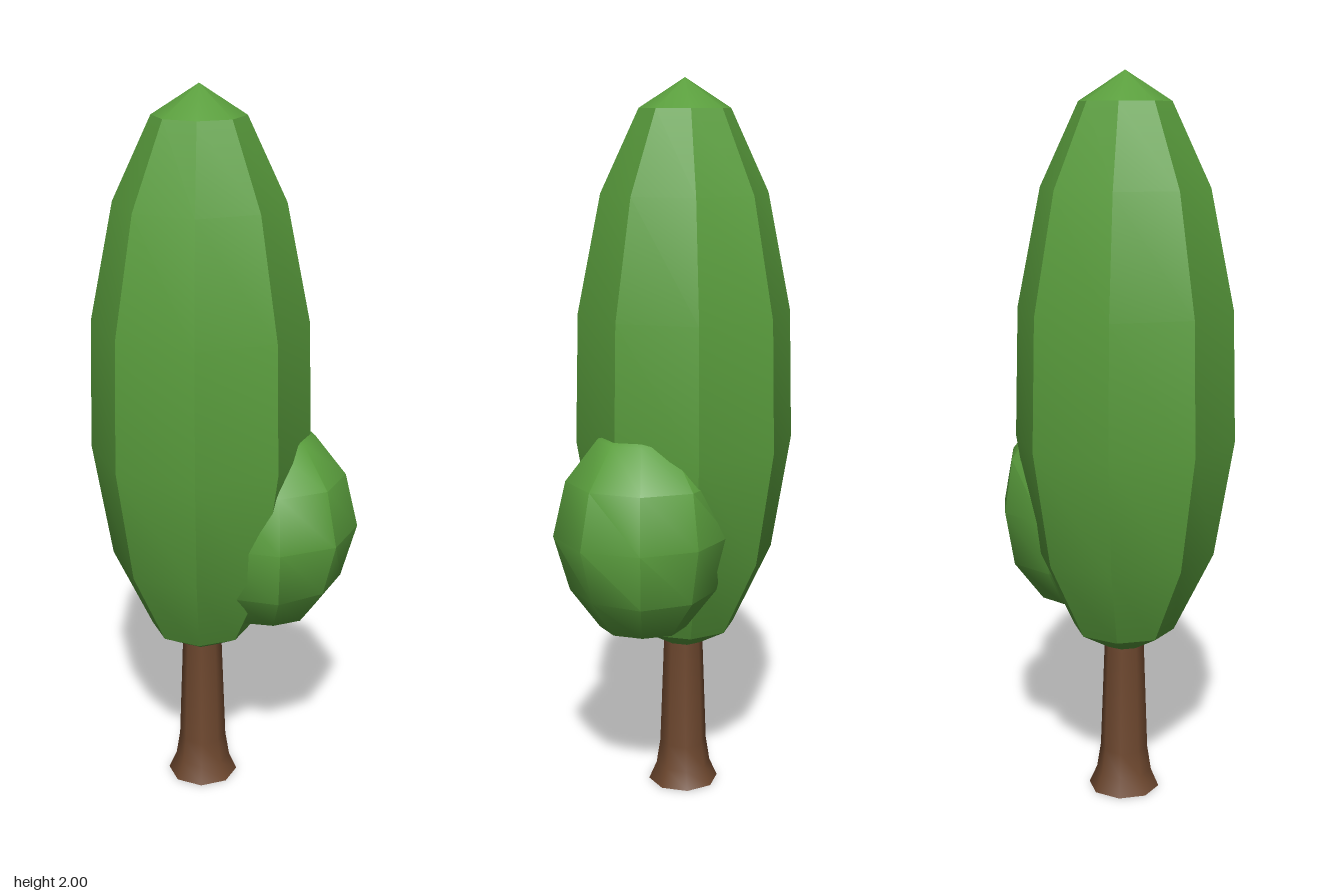
import * as THREE from 'three';
import { toCreasedNormals } from 'three/addons/utils/BufferGeometryUtils.js';

const deg = THREE.MathUtils.degToRad;

// Low-poly ellipsoid of leaves: turned, tapered upwards, slightly lumpy, with creased normals.
function foliage({ sides, rings, turn, radius, halfHeight, taper, lump, crease }) {
  const geometry = new THREE.SphereGeometry(1, sides, rings).rotateY(deg(turn));
  const p = geometry.attributes.position;
  for (let i = 0; i < p.count; i++) {
    const x = p.getX(i), y = p.getY(i), z = p.getZ(i);
    const k = 1 + lump * Math.sin(5 * x + 4 * y + 7 * z);
    const r = radius * (1 - taper * y) * k;
    p.setXYZ(i, x * r, y * halfHeight, z * r);
  }
  return toCreasedNormals(geometry, deg(crease));
}

export function createModel() {
  const tree = new THREE.Group();
  tree.name = 'tree';

  const leafGreen = new THREE.MeshStandardMaterial({ color: 0x5a9e3d });
  leafGreen.name = 'leafGreen';
  const barkBrown = new THREE.MeshStandardMaterial({ color: 0x6d472e });
  barkBrown.name = 'barkBrown';

  const add = (name, geometry, material, x, y, z) => {
    const mesh = new THREE.Mesh(geometry, material);
    mesh.name = name;
    mesh.position.set(x, y, z);
    tree.add(mesh);
  };

  // Trunk with flared foot, running up into the crown
  const profile = [[0, 0], [0.1, 0], [0.078, 0.05], [0.067, 0.12], [0.056, 0.42], [0.05, 0.6]]
    .map(([r, y]) => new THREE.Vector2(r, y));
  const trunk = new THREE.LatheGeometry(profile, 8).rotateY(deg(11.6));
  add('trunk', toCreasedNormals(trunk, deg(50)), barkBrown, -0.05, 0, -0.022);

  // Tall main crown with hard vertical ridges
  add('crown', foliage({
    sides: 8, rings: 7, turn: 11.6, radius: 0.305, halfHeight: 0.8,
    taper: 0.07, lump: 0, crease: 30,
  }), leafGreen, -0.05, 1.2, -0.025);

  // Small softer clump low on the front left
  add('sideClump', foliage({
    sides: 9, rings: 6, turn: 24, radius: 0.24, halfHeight: 0.305,
    taper: 0, lump: 0.025, crease: 42,
  }), leafGreen, 0.113, 0.795, 0.075);

  return tree;
}
